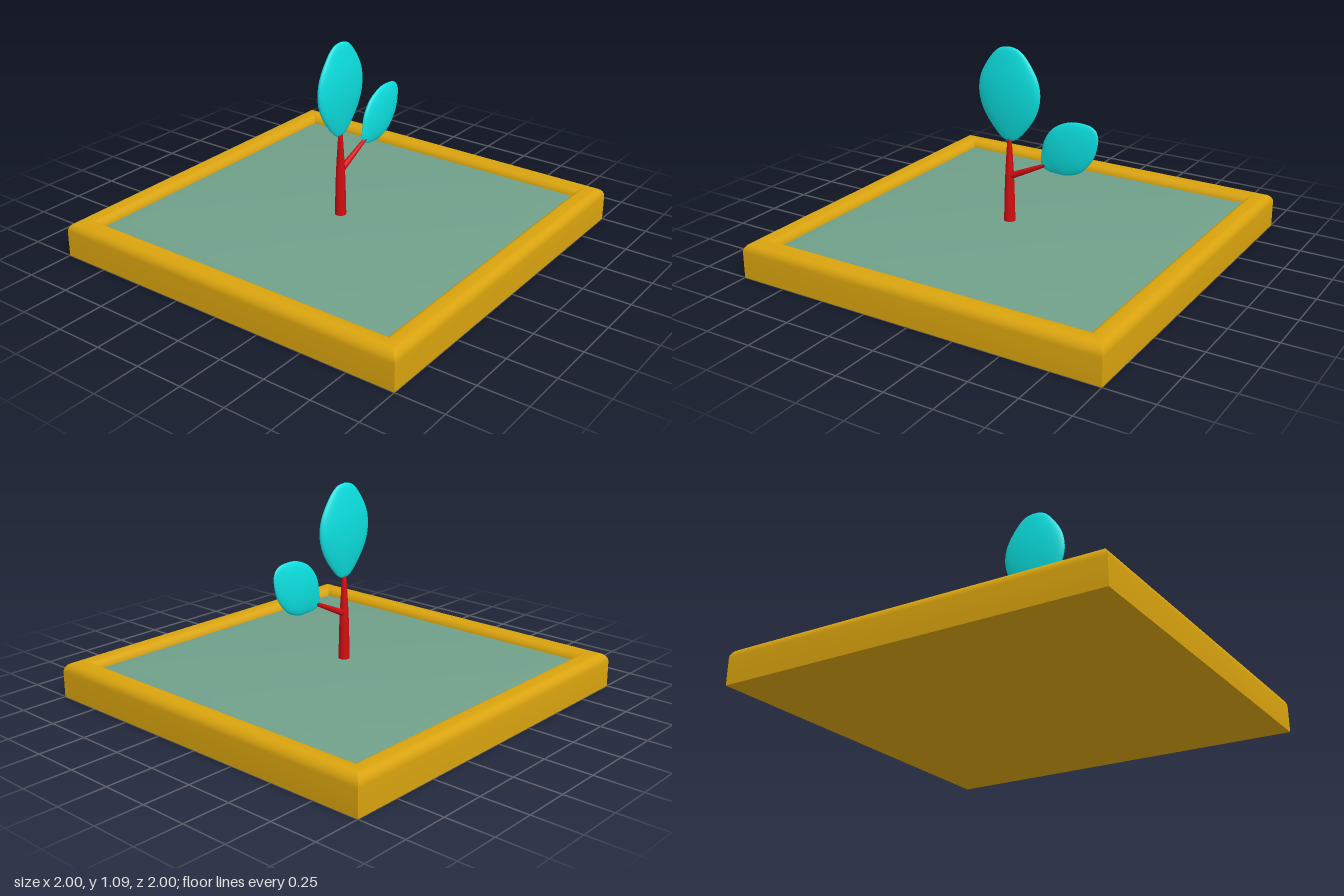
import * as THREE from 'three';
import { toCreasedNormals } from 'three/addons/utils/BufferGeometryUtils.js';

const vec = ([x, y]) => new THREE.Vector2(x, y);
const mat = (color) => new THREE.MeshStandardMaterial({ color });

function add(parent, name, geometry, material) {
  const mesh = new THREE.Mesh(geometry, material);
  mesh.name = name;
  parent.add(mesh);
  return mesh;
}

// Sweep a (distance from centre, height) profile around a square
function squareSweep(points) {
  const geo = new THREE.LatheGeometry(points.map(([d, y]) => vec([d * Math.SQRT2, y])), 4);
  geo.rotateY(Math.PI / 4);
  return toCreasedNormals(geo, 0.5);
}

// Quarter-round edge from angle a to b
function arc(cx, cy, rx, ry, a, b, n = 6) {
  return Array.from({ length: n + 1 }, (_, i) => {
    const t = a + ((b - a) * i) / n;
    return [cx + rx * Math.cos(t), cy + ry * Math.sin(t)];
  });
}

// Flattened, smooth leaf standing on its own base point
function leafGeometry(outline, flatness) {
  const pts = new THREE.SplineCurve(outline.map(vec)).getPoints(28);
  pts.forEach((p) => { p.x = Math.max(p.x, 0); });
  const geo = new THREE.LatheGeometry(pts, 32);
  geo.scale(1, 1, flatness);
  return geo;
}

export function createModel() {
  const group = new THREE.Group();
  const gold = mat(0xd9a30e);
  const green = mat(0x70a08a);
  const red = mat(0xd00c10);
  const cyan = mat(0x0ce0e0);

  // Tray with a rounded rim and a closed underside
  add(group, 'frame', squareSweep([
    [0, 0], [1, 0],
    ...arc(0.95, 0.137, 0.05, 0.05, 0, Math.PI / 2),
    ...arc(0.92, 0.137, 0.045, 0.05, Math.PI / 2, Math.PI),
    [0.875, 0.1],
  ]), gold);

  // Recessed panel with a shallow chamfer around it
  add(group, 'panel', squareSweep([
    [0.88, 0.145], [0.77, 0.165], [0, 0.165],
  ]), green);

  const tree = new THREE.Group();
  tree.name = 'tree';
  tree.position.set(-0.06, 0, 0.02);
  group.add(tree);

  // Tapering trunk
  add(tree, 'trunk', new THREE.LatheGeometry([
    [0.03, 0.15], [0.025, 0.36], [0.021, 0.45], [0.012, 0.6], [0.008, 0.62], [0, 0.625],
  ].map(vec), 20), red);

  // Side branch, tapering from the trunk to the small leaf
  const start = new THREE.Vector3(0, 0.408, 0);
  const end = new THREE.Vector3(0.225, 0.515, 0);
  const dir = end.clone().sub(start);
  const branch = add(tree, 'branch', new THREE.CylinderGeometry(0.009, 0.018, dir.length(), 16), red);
  branch.position.copy(start).add(end).multiplyScalar(0.5);
  branch.quaternion.setFromUnitVectors(new THREE.Vector3(0, 1, 0), dir.normalize());

  // Large upright leaf
  const large = add(tree, 'largeLeaf', leafGeometry([
    [0, 0], [0.045, 0.016], [0.1, 0.072], [0.15, 0.145], [0.177, 0.225],
    [0.175, 0.305], [0.148, 0.375], [0.095, 0.45], [0.05, 0.485], [0, 0.495],
  ], 0.213), cyan);
  large.position.y = 0.598;

  // Small leaf leaning out along the branch
  const small = add(tree, 'smallLeaf', leafGeometry([
    [0, 0], [0.035, 0.018], [0.07, 0.055], [0.108, 0.105], [0.13, 0.19],
    [0.105, 0.29], [0.045, 0.365], [0, 0.385],
  ], 0.215), cyan);
  small.position.set(0.193, 0.497, 0);
  small.rotation.z = -0.9;

  return group;
}
